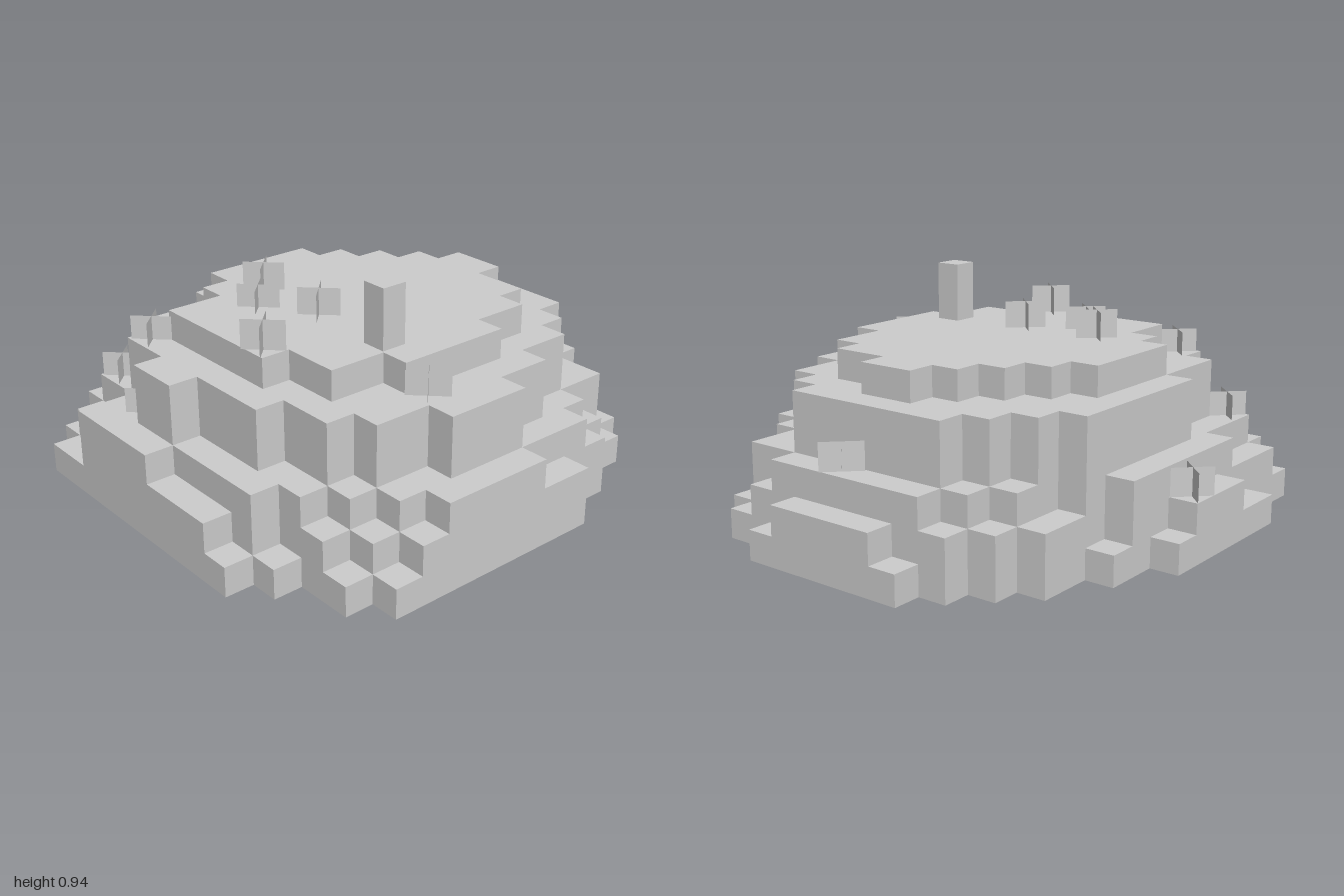
import * as THREE from 'three';

const U = 2 / 17; // side of one block
const COLS = 17, ROWS = 16;

// Each terrace: height in blocks, and per row (back to front) the first and last column edge
const TERRACES = [
  { h: 1, from: 0, spans: [[4, 10], [1, 12], [0, 14], [0, 15], [0, 16], [0, 17], [0, 17], [0, 17],
    [0, 17], [0, 17], [0, 17], [0, 16], [1, 16], [2, 15], [2, 13], [3, 11]] },
  { h: 2, from: 0, spans: [[6, 9], [2, 11], [1, 14], [1, 15], [0, 16], [0, 16], [0, 17], [0, 17],
    [0, 17], [0, 17], [0, 16], [1, 16], [2, 15], [2, 14], [3, 13], [4, 11]] },
  { h: 3, from: 1, spans: [[5, 11], [2, 12], [2, 14], [0, 15], [0, 16], [0, 16], [0, 16],
    [1, 16], [1, 16], [1, 16], [1, 15], [2, 15], [3, 13], [4, 12], [5, 9]] },
  { h: 5, from: 2, spans: [[6, 12], [3, 13], [2, 14], [2, 15], [1, 15], [1, 15],
    [2, 15], [2, 15], [2, 15], [3, 14], [3, 13], [4, 11], [6, 9]] },
  { h: 6, from: 3, spans: [[6, 10], [5, 11], [3, 12], [3, 13], [3, 14], [3, 14],
    [3, 13], [4, 13], [4, 12], [6, 10]] },
];

// Crossed plants: x, z, ground height in blocks, plant height
const PLANTS = [
  [-0.6, 0.18, 6, 0.115], [-0.245, 0.05, 6, 0.108], [-0.37, -0.16, 6, 0.092], [-0.24, -0.3, 6, 0.112],
  [-0.7, -0.395, 5, 0.095], [-0.245, 0.65, 5, 0.095], [0.83, 0.045, 3, 0.11],
  [-0.81, -0.285, 3, 0.1], [-0.7, -0.635, 3, 0.1], [0, -0.885, 2, 0.11],
];

function heightMap() {
  const map = Array.from({ length: ROWS }, () => new Array(COLS).fill(0));
  for (const { h, from, spans } of TERRACES) {
    spans.forEach(([a, b], k) => map[from + k].fill(h, a, b));
  }
  return map;
}

// Open-bottomed stepped shell: a top face per cell, and walls down to lower neighbours
function terrainGeometry() {
  const map = heightMap();
  const at = (r, c) => map[r]?.[c] ?? 0;
  const pos = [];
  const quad = (a, b, c, d) => {
    for (const [x, y, z] of [a, b, c, a, c, d]) {
      pos.push((x - COLS / 2) * U, y * U, (z - ROWS / 2) * U);
    }
  };
  const wall = (x0, z0, x1, z1, low, high) => {
    if (high > low) quad([x0, low, z0], [x1, low, z1], [x1, high, z1], [x0, high, z0]);
  };
  for (let r = 0; r < ROWS; r++) {
    for (let c = 0; c < COLS; c++) {
      const h = at(r, c);
      if (!h) continue;
      quad([c, h, r + 1], [c + 1, h, r + 1], [c + 1, h, r], [c, h, r]);
      wall(c, r + 1, c + 1, r + 1, at(r + 1, c), h);
      wall(c + 1, r, c, r, at(r - 1, c), h);
      wall(c + 1, r + 1, c + 1, r, at(r, c + 1), h);
      wall(c, r, c, r + 1, at(r, c - 1), h);
    }
  }
  const geo = new THREE.BufferGeometry();
  geo.setAttribute('position', new THREE.Float32BufferAttribute(pos, 3));
  geo.computeVertexNormals();
  return geo;
}

export function createModel() {
  const model = new THREE.Group();
  model.name = 'blockHill';
  const stone = new THREE.MeshStandardMaterial({ color: 0xcccccc, side: THREE.DoubleSide });
  stone.name = 'stone grey';

  const add = (parent, geo, name, x = 0, y = 0, z = 0) => {
    const mesh = new THREE.Mesh(geo, stone);
    mesh.name = name;
    mesh.position.set(x, y, z);
    parent.add(mesh);
    return mesh;
  };

  add(model, terrainGeometry(), 'terrain');

  // Square pillar on the summit
  add(model, new THREE.BoxGeometry(0.103, 2 * U, 0.103), 'pillar', -0.238, 7 * U, 0.412);

  // Plants: two upright planes crossing on the diagonals
  for (const [x, z, ground, h] of PLANTS) {
    const plant = new THREE.Group();
    plant.name = 'plant';
    plant.position.set(x, ground * U + h / 2, z);
    for (const turn of [Math.PI / 4, -Math.PI / 4]) {
      add(plant, new THREE.PlaneGeometry(0.163, h), 'plantLeaf').rotation.y = turn;
    }
    model.add(plant);
  }
  return model;
}
